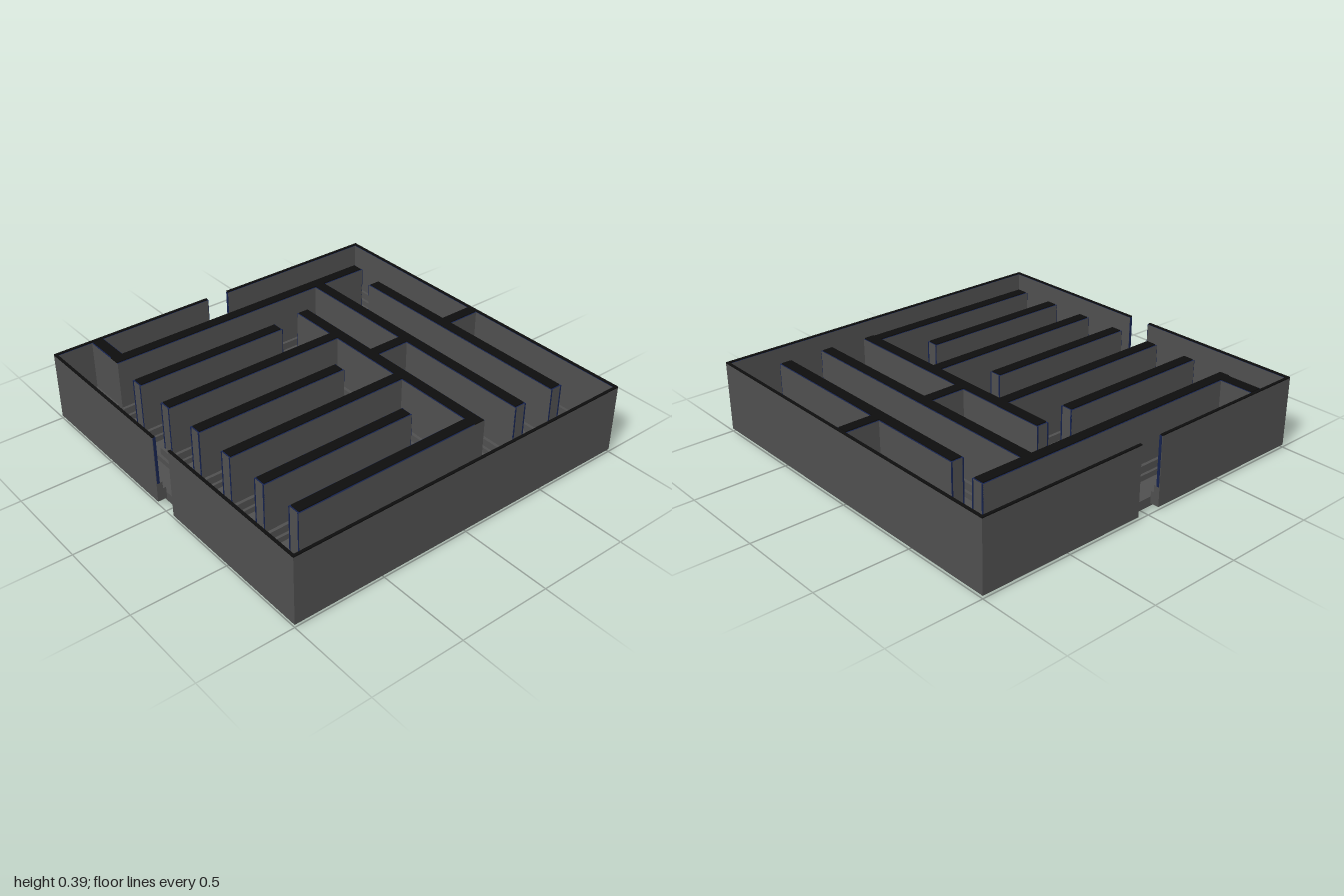
import * as THREE from 'three';

export function createModel() {
  const model = new THREE.Group();
  const mat = (name, color) => Object.assign(new THREE.MeshStandardMaterial({ color }), { name });
  const gray = mat('wall gray', 0x505050);
  const black = mat('wall top black', 0x0e0e0e);
  const navy = mat('edge navy', 0x16234f);

  // Box given by its limits
  const box = (parent, name, x1, x2, y1, y2, z1, z2, material) => {
    const mesh = new THREE.Mesh(new THREE.BoxGeometry(x2 - x1, y2 - y1, z2 - z1), material);
    mesh.position.set((x1 + x2) / 2, (y1 + y2) / 2, (z1 + z2) / 2);
    mesh.name = name;
    parent.add(mesh);
  };
  const FLOOR = 0.05, BOTTOM = 0.015, PANEL = 0.386, TOP = 0.392, HALF = 0.035;
  const navyTop = [gray, gray, navy, gray, gray, gray];

  box(model, 'floor', -0.95, 0.95, 0, FLOOR, -0.95, 0.95, gray);

  // Outer walls: [angle, gap in the middle]; each is built facing +z and turned
  const sides = [[0, true], [-Math.PI / 2, true], [Math.PI, false], [Math.PI / 2, false]];
  for (const [angle, gap] of sides) {
    const side = new THREE.Group();
    side.name = 'outerWall';
    side.rotation.y = angle;
    model.add(side);
    for (const [a, b] of gap ? [[-1, -0.067], [0.067, 1]] : [[-1, 1]]) {
      box(side, 'wallPanel', a, b, BOTTOM, PANEL, 0.982, 1, navyTop);
      box(side, 'wallCap', a, b, PANEL, TOP, 0.986, 1, black);
      box(side, 'upperSkirting', a, b, BOTTOM, 0.12, 0.967, 0.99, gray);
      box(side, 'lowerSkirting', a, b, BOTTOM, 0.08, 0.95, 0.99, gray);
    }
    // Navy faces inside the doorway
    if (gap) for (const s of [-1, 1]) {
      const x = s * 0.066;
      box(side, 'doorJamb', x - 0.002, x + 0.002, 0.12, PANEL, 0.983, 0.997, navy);
    }
  }

  // Maze walls by centre line: [x1, z1, x2, z2, start is free, end is free]
  const walls = [
    [0, -0.98, 0, -0.765, false, false],
    [-0.56, -0.765, 0.81, -0.765, true, true],
    [-0.76, -0.82, -0.76, 0.79, true, false],
    [-0.76, -0.515, 0.81, -0.515, false, true],
    [0, -0.515, 0, -0.26, false, false],
    [-0.56, -0.26, 0.79, -0.26, true, false],
    [-0.98, 0.755, -0.76, 0.755, false, false],
  ];
  for (const x of [-0.255, 0.25, 0.755]) walls.push([x, -0.26, x, 0.81, false, true]);
  for (const x of [-0.51, 0, 0.505]) walls.push([x, -0.06, x, 0.81, true, true]);

  for (const [x1, z1, x2, z2, free1, free2] of walls) {
    const wall = new THREE.Group();
    wall.name = 'mazeWall';
    model.add(wall);
    const alongX = z1 === z2;
    const [a, b, c] = alongX ? [x1, x2, z1] : [z1, z2, x1];
    const run = (name, s, e, w1, w2, y1, y2, m) => alongX
      ? box(wall, name, s, e, y1, y2, w1, w2, m)
      : box(wall, name, w1, w2, y1, y2, s, e, m);
    // Skirting grows past the ends that stand free
    const layer = (name, grow, y1, y2, m) => run(name,
      a - (free1 ? grow : 0), b + (free2 ? grow : 0), c - HALF - grow, c + HALF + grow, y1, y2, m);
    layer('wallPanel', 0, FLOOR, PANEL, navyTop);
    layer('wallCap', -0.007, PANEL, TOP, black);
    layer('upperSkirting', 0.017, FLOOR, 0.12, gray);
    layer('lowerSkirting', 0.032, FLOOR, 0.08, gray);
    // Navy strips on the corners of free ends
    [[free1, a], [free2, b]].forEach(([free, end]) => {
      if (free) for (const s of [-1, 1]) {
        const w = c + s * (HALF - 0.0035);
        run('edgeStrip', end - 0.002, end + 0.002, w - 0.0035, w + 0.0035, 0.12, PANEL, navy);
      }
    });
  }
  return model;
}
